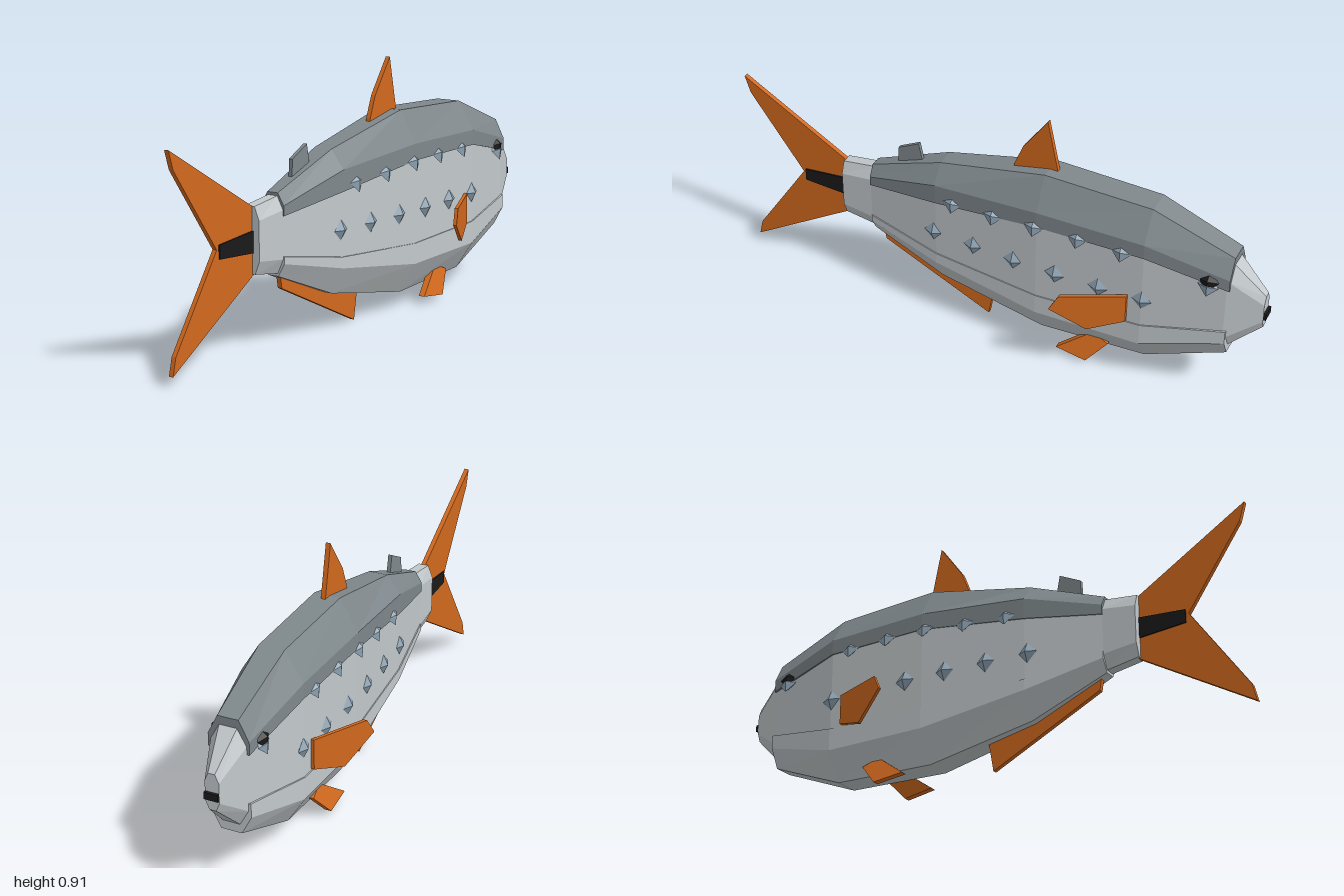
import * as THREE from 'three';

const mat = (name, color) => Object.assign(new THREE.MeshStandardMaterial({ color, flatShading: true }), { name });

// Closed solid through equal-length rings, ordered from +z to -z, each ring counter-clockwise seen from +z
function loft(rings) {
  const pos = [];
  const n = rings[0].length;
  const tri = (a, b, c) => pos.push(...a, ...b, ...c);
  for (let s = 0; s < rings.length - 1; s++) {
    const a = rings[s], b = rings[s + 1];
    for (let i = 0; i < n; i++) {
      const j = (i + 1) % n;
      tri(a[i], b[i], b[j]);
      tri(a[i], b[j], a[j]);
    }
  }
  const first = rings[0], last = rings[rings.length - 1];
  for (let i = 1; i < n - 1; i++) {
    tri(first[0], first[i], first[i + 1]);
    tri(last[0], last[i + 1], last[i]);
  }
  const g = new THREE.BufferGeometry();
  g.setAttribute('position', new THREE.Float32BufferAttribute(pos, 3));
  g.computeVertexNormals();
  return g;
}

// Mirrors a right-hand outline (x, y from bottom to top) to a full ring
const ring = (z, half) => [
  ...half.map(([x, y]) => [x, y, z]),
  ...half.slice().reverse().map(([x, y]) => [-x, y, z]),
];

// Plate outlined by [z, y] points, thick along x; lean gives the x offset of each point
function plate(points, thickness, lean = () => 0) {
  const shape = new THREE.Shape(points.map(([z, y]) => new THREE.Vector2(-z, y)));
  const g = new THREE.ExtrudeGeometry(shape, { depth: thickness, bevelEnabled: false });
  g.translate(0, 0, -thickness / 2).rotateY(Math.PI / 2);
  const p = g.attributes.position;
  for (let i = 0; i < p.count; i++) p.setX(i, p.getX(i) + lean(p.getZ(i), p.getY(i)));
  g.computeVertexNormals();
  return g;
}

export function createModel() {
  const silver = mat('silver', 0xc3c9cc);
  const grey = mat('slate grey', 0x7f888c);
  const orange = mat('fin orange', 0xd2691e);
  const blue = mat('scale blue', 0x8fa3b3);
  const black = mat('black', 0x1a1a1a);

  const fish = new THREE.Group();
  fish.name = 'fish';
  const add = (name, geometry, material) => {
    const m = new THREE.Mesh(geometry, material);
    m.name = name;
    fish.add(m);
    return m;
  };

  // Core body: z, half width, flat half width, bottom, lower corner, upper corner, top
  const core = [
    [0.6, 0.037, 0.019, 0.285, 0.33, 0.465, 0.51],
    [0.48, 0.042, 0.019, 0.265, 0.315, 0.48, 0.525],
    [0.2, 0.082, 0.032, 0.15, 0.25, 0.565, 0.625],
    [-0.2, 0.111, 0.045, 0.08, 0.185, 0.6, 0.71],
    [-0.59, 0.108, 0.043, 0.09, 0.19, 0.59, 0.695],
    [-0.87, 0.067, 0.033, 0.215, 0.275, 0.52, 0.58],
    [-0.99, 0.025, 0.012, 0.33, 0.36, 0.43, 0.46],
  ];
  add('body', loft(core.map(([z, w, t, y0, y1, y2, y3]) => ring(z, [[t, y0], [w, y1], [w, y2], [t, y3]]))), silver);

  // Back and belly shells: z, half width, flat half width, edge, corner, extreme
  const back = [
    [0.48, 0.046, 0.021, 0.46, 0.495, 0.535],
    [0.2, 0.086, 0.035, 0.5, 0.575, 0.64],
    [-0.2, 0.114, 0.048, 0.55, 0.61, 0.724],
    [-0.59, 0.112, 0.046, 0.55, 0.605, 0.709],
    [-0.88, 0.073, 0.037, 0.485, 0.53, 0.6],
  ];
  add('back', loft(back.map(([z, w, t, e, c, y]) => ring(z, [[w, e], [w, c], [t, y]]))), grey);
  const belly = [
    [0.48, 0.046, 0.021, 0.325, 0.3, 0.255],
    [0.2, 0.086, 0.035, 0.275, 0.235, 0.14],
    [-0.2, 0.114, 0.048, 0.25, 0.175, 0.063],
    [-0.59, 0.112, 0.046, 0.26, 0.178, 0.077],
    [-0.88, 0.073, 0.037, 0.31, 0.26, 0.193],
  ];
  add('belly', loft(belly.map(([z, w, t, e, c, y]) => ring(z, [[t, y], [w, c], [w, e]]))), silver);

  // Fins on the centre line
  add('tailFin', plate([[0.59, 0.505], [1, 0.75], [0.98, 0.685], [0.78, 0.4], [0.985, 0.1], [1, 0.04], [0.59, 0.285]], 0.017), orange);
  add('tailRoot', plate([[0.59, 0.355], [0.59, 0.43], [0.77, 0.415], [0.77, 0.368]], 0.027), black);
  add('dorsalFin', plate([[-0.06, 0.66], [-0.07, 0.71], [-0.1, 0.785], [-0.19, 0.91], [-0.235, 0.7]], 0.017), orange);
  add('rearDorsalFin', plate([[0.385, 0.54], [0.38, 0.63], [0.3, 0.67], [0.28, 0.57]], 0.014), grey);
  add('analFin', plate([[0.46, 0.29], [0.445, 0.205], [0.03, 0.005], [0.01, 0.12]], 0.017), orange);

  add('mouth', new THREE.BoxGeometry(0.05, 0.025, 0.02).translate(0, 0.382, -0.99), black);

  // Half width of the body at a given z
  const widthAt = (z) => {
    const i = core.findIndex((s) => s[0] < z);
    const a = core[i - 1], b = core[i];
    return THREE.MathUtils.mapLinear(z, a[0], b[0], a[1], b[1]);
  };
  const scaleGeo = new THREE.OctahedronGeometry(1).scale(0.018, 0.037, 0.037);
  const lozenge = (name, x, y, z, tilt, material) => {
    const m = add(name, scaleGeo, material);
    m.position.set(x, y, z);
    m.rotation.z = tilt;
  };

  for (const s of [1, -1]) {
    const side = s > 0 ? 'left' : 'right';
    add(side + 'PectoralFin', plate([[-0.33, 0.365], [-0.54, 0.375], [-0.54, 0.265], [-0.42, 0.225], [-0.3, 0.31]],
      0.014, (z) => s * (0.113 + (z + 0.54) * 0.43)), orange);
    add(side + 'PelvicFin', plate([[-0.465, 0.1], [-0.395, 0.02], [-0.28, 0.035], [-0.405, 0.125]],
      0.024, (z, y) => s * (0.058 + (0.12 - y) * 0.38)), orange);

    // Row of scales along the flank and a tilted row under the back shell
    for (let i = 0; i < 6; i++) {
      const z = 0.21 - i * 0.16;
      lozenge(side + 'FlankScale', s * widthAt(z), 0.37, z, 0, blue);
    }
    [0.523, 0.533, 0.548, 0.552, 0.55].forEach((y, i) => {
      const z = 0.13 - i * 0.16;
      lozenge(side + 'UpperScale', s * (widthAt(z) + 0.001), y, z, s * 0.4, blue);
    });

    // Eye with a pale lower lid
    lozenge(side + 'Eye', s * 0.083, 0.515, -0.81, s * 0.4, black);
    lozenge(side + 'EyeLid', s * 0.084, 0.494, -0.81, s * 0.4, blue);
  }
  return fish;
}
